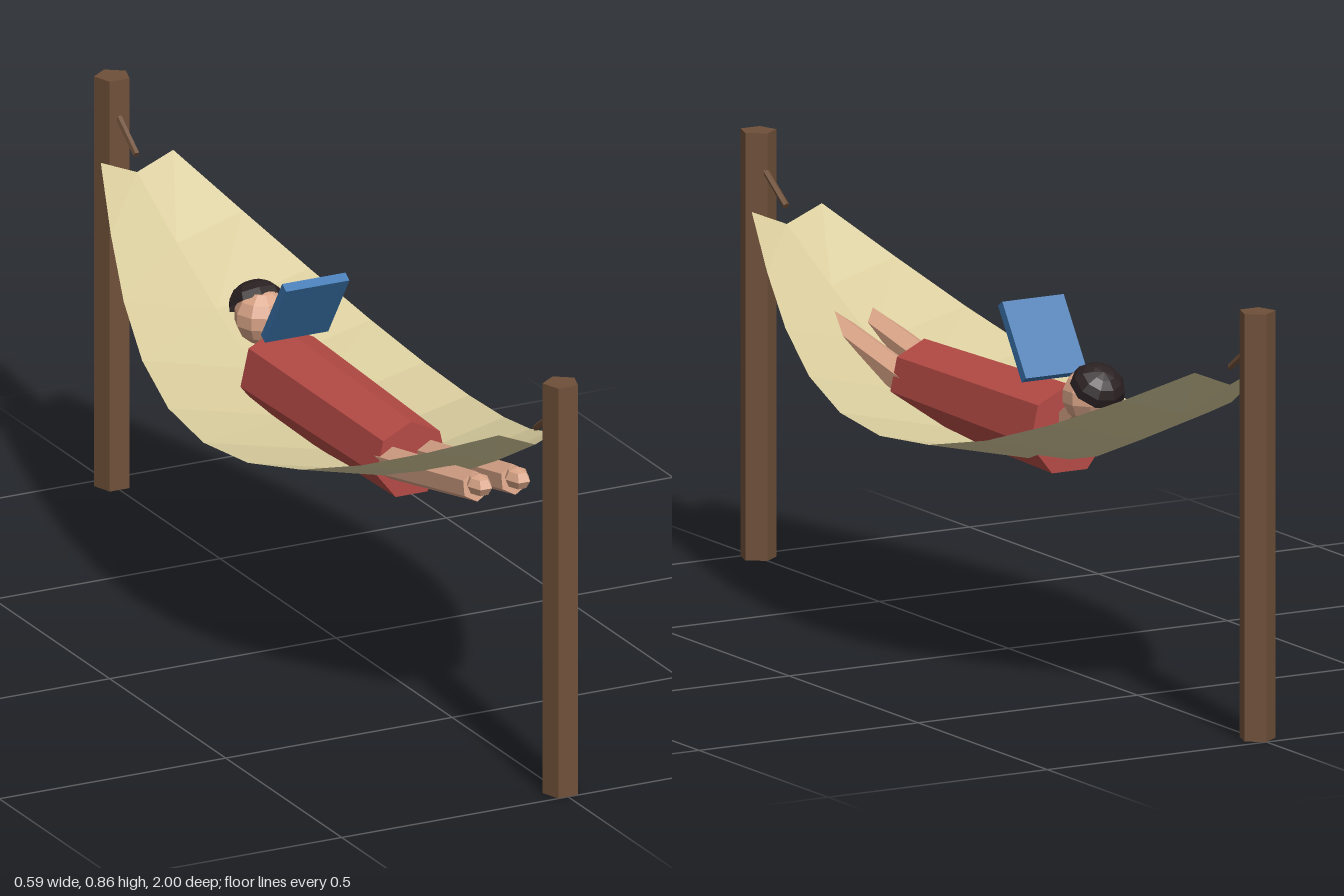
import * as THREE from 'three';

const mat = (name, color, extra = {}) => {
  const m = new THREE.MeshStandardMaterial({ color, flatShading: true, ...extra });
  m.name = name;
  return m;
};

export function createModel() {
  const wood = mat('wood', 0x6f5039);
  const cloth = mat('canvas', 0xd9cd9e, { side: THREE.DoubleSide });
  const skin = mat('skin', 0xd9a487);
  const red = mat('red cloth', 0xb54a45);
  const blue = mat('blue cover', 0x3b76b0);
  const dark = mat('dark hair', 0x2a2022, { side: THREE.DoubleSide });

  const model = new THREE.Group();
  const add = (name, geo, material, x = 0, y = 0, z = 0) => {
    const m = new THREE.Mesh(geo, material);
    m.name = name;
    m.position.set(x, y, z);
    model.add(m);
    return m;
  };
  // Tapered rod running from point a to point b
  const rod = (name, a, b, ra, rb, sides, material) => {
    const A = new THREE.Vector3(...a), B = new THREE.Vector3(...b);
    const d = B.clone().sub(A);
    const m = add(name, new THREE.CylinderGeometry(rb, ra, d.length(), sides), material);
    m.position.copy(A).add(B).multiplyScalar(0.5);
    m.quaternion.setFromUnitVectors(new THREE.Vector3(0, 1, 0), d.normalize());
    return m;
  };

  // Five-sided posts and the short ropes tied to them
  for (const s of [1, -1]) {
    const post = add(s > 0 ? 'frontPost' : 'backPost',
      new THREE.CylinderGeometry(0.037, 0.037, 0.86, 5), wood, 0, 0.43, s * 0.9665 + 0.0035);
    post.rotation.y = Math.PI;
    rod(s > 0 ? 'frontRope' : 'backRope',
      [0, 0.79, s * 0.95], [0, 0.728, s * 0.86], 0.007, 0.007, 5, wood);
  }

  // Hammock: V-shaped cross-sections, widest and lowest in the middle
  const segments = 10, points = [], index = [];
  for (let i = 0; i <= segments; i++) {
    const t = (i / segments) * 2 - 1;
    const c = Math.cos(t * Math.PI / 2), z = t * 0.858;
    const w = 0.08 + 0.213 * c;
    const edge = 0.725 - 0.265 * c;
    const middle = 0.692 - 0.298 * c;
    points.push(-w, edge, z, 0, middle, z, w, edge, z);
    if (i < segments) {
      for (let j = 0; j < 2; j++) {
        const a = i * 3 + j;
        index.push(a, a + 3, a + 1, a + 1, a + 3, a + 4);
      }
    }
  }
  const sheet = new THREE.BufferGeometry();
  sheet.setAttribute('position', new THREE.Float32BufferAttribute(points, 3));
  sheet.setIndex(index);
  sheet.computeVertexNormals();
  add('hammock', sheet, cloth);

  // Seven-sided torso lying along the hammock
  rod('torso', [0, 0.482, 0.325], [0, 0.484, -0.237], 0.08, 0.092, 7, red);

  // Neck, head and hair
  rod('neck', [0, 0.495, -0.22], [0, 0.555, -0.31], 0.028, 0.026, 6, skin);
  add('head', new THREE.SphereGeometry(0.057, 9, 7), skin, 0, 0.57, -0.318);
  const hair = add('hair',
    new THREE.SphereGeometry(0.057, 9, 4, 0, Math.PI * 2, 0, Math.PI / 2), dark, 0, 0.589, -0.345);
  hair.scale.y = 0.8;
  hair.rotation.x = -0.64;

  // Legs and feet
  for (const s of [1, -1]) {
    const side = s > 0 ? 'left' : 'right';
    rod(side + 'Leg', [s * 0.042, 0.476, 0.29], [s * 0.042, 0.554, 0.685], 0.034, 0.031, 6, skin);
    const foot = add(side + 'Foot', new THREE.SphereGeometry(0.03, 6, 4), skin, s * 0.042, 0.562, 0.698);
    foot.scale.set(0.85, 0.75, 1.2);
  }

  // Book held up over the chest
  const book = add('book', new THREE.BoxGeometry(0.14, 0.165, 0.02), blue, 0, 0.649, -0.133);
  book.rotation.x = Math.atan2(0.09, 0.135);

  return model;
}
